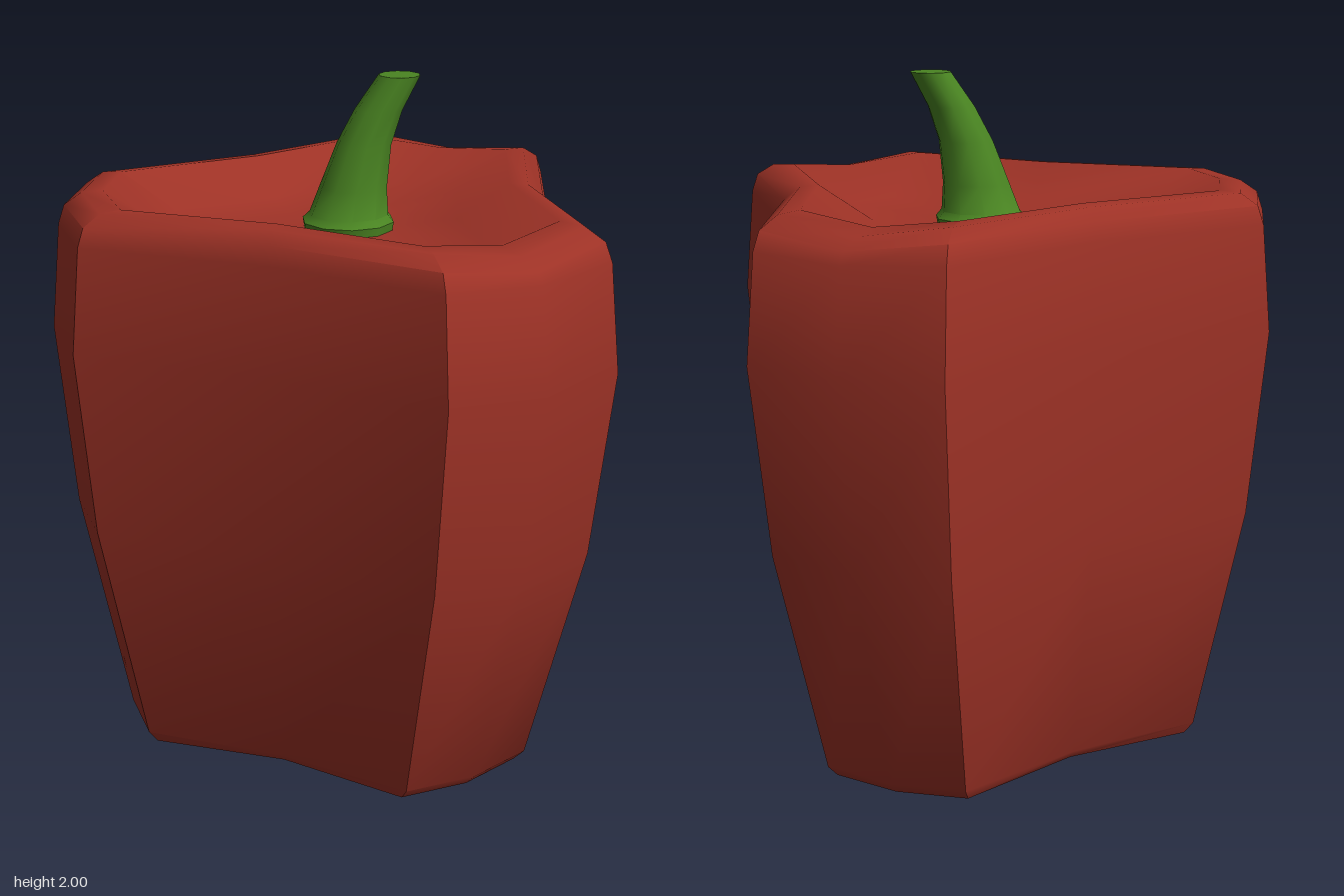
import * as THREE from 'three';
import { mergeVertices, toCreasedNormals } from 'three/addons/utils/BufferGeometryUtils.js';

const red = new THREE.MeshStandardMaterial({ color: 0x9e3226 });
red.name = 'pepper red';
const green = new THREE.MeshStandardMaterial({ color: 0x4a8522 });
green.name = 'stem green';

// Skin a stack of equal-length rings; the first and last may shrink to a point.
function loft(rings, crease) {
  const n = rings[0].length, pos = [], idx = [];
  rings.forEach(ring => ring.forEach(p => pos.push(...p)));
  for (let i = 0; i < rings.length - 1; i++) {
    for (let j = 0; j < n; j++) {
      const a = i * n + j, b = i * n + (j + 1) % n;
      idx.push(a, a + n, b, b, a + n, b + n);
    }
  }
  let geo = new THREE.BufferGeometry();
  geo.setAttribute('position', new THREE.Float32BufferAttribute(pos, 3));
  geo.setIndex(idx);
  geo = mergeVertices(geo, 1e-4);
  // drop triangles that collapsed at the poles
  const kept = [], src = geo.index.array;
  for (let i = 0; i < src.length; i += 3) {
    const [a, b, c] = [src[i], src[i + 1], src[i + 2]];
    if (a !== b && b !== c && a !== c) kept.push(a, b, c);
  }
  geo.setIndex(kept);
  return toCreasedNormals(geo, crease);
}

// Three-lobed outline at the widest height, mirrored in z.
const half = [[0.7, 0], [0.78, 0.58], [0.55, 0.775], [0.27, 0.875], [-0.19, 0.54], [-0.72, 0.3], [-0.785, 0]];
const outline = [...half, ...half.slice(1, -1).reverse().map(([x, z]) => [x, -z])];
const sideLobeTips = [2, 10], valleys = [0, 4, 8];

// [scale, height, drop at side lobe tips, lift at valleys]
const levels = [
  [0, 0.09, 0, 0], [0.5, 0.09, 0, 0], [0.57, 0.02, 0, 0.01], [0.65, 0, 0, 0.012], [0.71, 0.005, 0, 0.01],
  [0.745, 0.04, 0, 0], [0.93, 0.72, 0, 0], [1, 1.27, 0, 0], [0.968, 1.58, 0.01, 0],
  [0.945, 1.635, 0.03, 0], [0.88, 1.67, 0.035, 0], [0.8, 1.675, 0.025, 0],
  [0.58, 1.57, 0, 0], [0.3, 1.55, 0, 0], [0, 1.55, 0, 0],
];

function createBody() {
  const rings = levels.map(([s, y, drop, lift]) => outline.map(([x, z], j) => [
    x * s,
    y - (sideLobeTips.includes(j) ? drop : 0) + (valleys.includes(j) ? lift : 0),
    z * s,
  ]));
  const mesh = new THREE.Mesh(loft(rings, 0.78), red);
  mesh.name = 'pepperBody';
  return mesh;
}

// Curved, tapering stalk with a small flared collar: [centre x, height, radius]
const stalk = [
  [0.085, 1.53, 0], [0.085, 1.53, 0.13], [0.085, 1.575, 0.137], [0.087, 1.595, 0.118],
  [0.1, 1.675, 0.1], [0.13, 1.8, 0.081], [0.172, 1.9, 0.07], [0.232, 2, 0.061], [0.232, 2, 0],
];

function createStem() {
  const sides = 10;
  const rings = stalk.map(([cx, y, r]) => Array.from({ length: sides }, (_, j) => {
    const a = (j + 0.5) / sides * Math.PI * 2;
    return [cx + Math.cos(a) * r, y, Math.sin(a) * r];
  }));
  const mesh = new THREE.Mesh(loft(rings, 0.75), green);
  mesh.name = 'stem';
  return mesh;
}

export function createModel() {
  const group = new THREE.Group();
  group.name = 'bellPepper';
  group.add(createBody(), createStem());
  return group;
}
